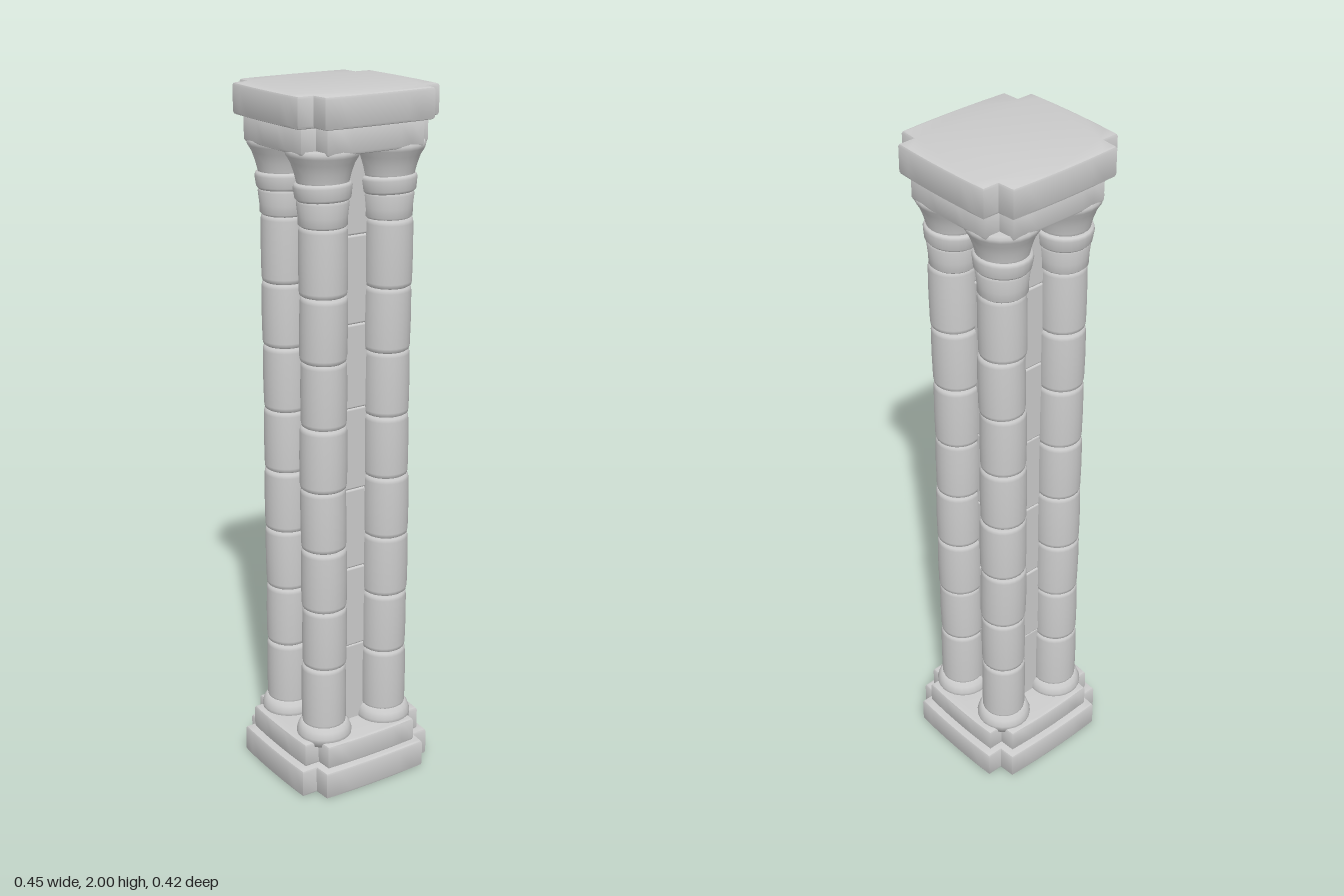
import * as THREE from 'three';
import { toCreasedNormals } from 'three/addons/utils/BufferGeometryUtils.js';
import { RoundedBoxGeometry } from 'three/addons/geometries/RoundedBoxGeometry.js';

const stone = new THREE.MeshStandardMaterial({ color: 0xcccccc });

// Small seeded generator for hand-cut irregularity
let seed = 7;
const wobble = (amount) => {
  seed = (seed * 16807) % 2147483647;
  return (seed / 2147483647 - 0.5) * 2 * amount;
};

function add(parent, name, geometry, x = 0, y = 0, z = 0) {
  const mesh = new THREE.Mesh(geometry, stone);
  mesh.name = name;
  mesh.position.set(x, y, z);
  parent.add(mesh);
  return mesh;
}

// Slab with notched corners, slightly bowed sides and worn edges
function slabGeometry(hx, hz, ax, az, height) {
  const bow = 0.005, b = 0.008;
  const s = new THREE.Shape();
  s.moveTo(ax, -hz + bow);
  s.lineTo(ax + 0.003, -az);
  s.lineTo(hx - bow, -az);
  s.quadraticCurveTo(hx + bow, 0, hx - bow, az);
  s.lineTo(ax + 0.003, az);
  s.lineTo(ax, hz - bow);
  s.quadraticCurveTo(0, hz + bow, -ax, hz - bow);
  s.lineTo(-ax - 0.003, az);
  s.lineTo(-hx + bow, az);
  s.quadraticCurveTo(-hx - bow, 0, -hx + bow, -az);
  s.lineTo(-ax - 0.003, -az);
  s.lineTo(-ax, -hz + bow);
  s.quadraticCurveTo(0, -hz - bow, ax, -hz + bow);
  const g = new THREE.ExtrudeGeometry(s, {
    depth: height - 2 * b, curveSegments: 8,
    bevelThickness: b, bevelSize: b, bevelOffset: -b, bevelSegments: 2,
  });
  g.rotateX(-Math.PI / 2);
  g.translate(0, b, 0);
  return toCreasedNormals(g, 0.7);
}

const lathe = (points, sides = 24) =>
  new THREE.LatheGeometry(points.map(([r, y]) => new THREE.Vector2(r, y)), sides);

// One round stone with softened rims
function drumGeometry(r, h) {
  return lathe([
    [0, 0], [r - 0.008, 0], [r - 0.002, 0.004], [r, 0.014], [r + 0.001, h / 2],
    [r, h - 0.014], [r - 0.002, h - 0.004], [r - 0.008, h], [0, h],
  ]);
}

function createColumn(name, x, z) {
  const column = new THREE.Group();
  column.name = name;
  column.position.set(x, 0, z);

  // Foot ring
  add(column, 'columnFoot', lathe([
    [0, 0.145], [0.078, 0.145], [0.08, 0.168], [0.074, 0.186], [0.064, 0.198], [0, 0.198],
  ]));

  // Stacked drums
  const joints = [0.19, 0.38, 0.56, 0.74, 0.92, 1.10, 1.285, 1.465, 1.652];
  for (let i = 0; i < joints.length - 1; i++) {
    const h = joints[i + 1] - joints[i] + 0.001;
    const drum = add(column, 'columnDrum', drumGeometry(0.064 + wobble(0.0015), h),
      wobble(0.002), joints[i], wobble(0.002));
    drum.rotation.set(wobble(0.012), wobble(3), wobble(0.012));
  }

  // Capital: neck, band and flared bell
  add(column, 'capitalNeck', lathe([
    [0, 1.65], [0.058, 1.65], [0.066, 1.657], [0.066, 1.68], [0.07, 1.715], [0.064, 1.723], [0, 1.723],
  ]));
  const band = add(column, 'capitalBand', lathe([
    [0, -0.024], [0.068, -0.024], [0.074, -0.017], [0.078, 0.012], [0.075, 0.021], [0.066, 0.025], [0, 0.025],
  ]), 0, 1.744, 0);
  band.rotation.set(wobble(0.05), 0, wobble(0.05));
  add(column, 'capitalBell', lathe([
    [0, 1.755], [0.067, 1.755], [0.07, 1.772], [0.076, 1.795], [0.085, 1.82],
    [0.096, 1.838], [0.099, 1.849], [0.094, 1.856], [0, 1.856],
  ]));
  return column;
}

export function createModel() {
  seed = 7;
  const pillar = new THREE.Group();
  pillar.name = 'clusteredPillar';

  // Plinth and crowning slabs
  const large = slabGeometry(0.224, 0.212, 0.169, 0.158, 0.084);
  const small = slabGeometry(0.203, 0.192, 0.15, 0.14, 0.072);
  add(pillar, 'plinthLower', large, 0, 0.004, 0);
  add(pillar, 'plinthUpper', small, 0, 0.087, 0);
  add(pillar, 'abacusLower', small, 0, 1.846, 0);
  add(pillar, 'abacusUpper', large, 0, 1.916, 0);

  // Square core of stacked blocks
  const courses = [0.15, 0.4, 0.645, 0.885, 1.125, 1.365, 1.61, 1.855];
  for (let i = 0; i < courses.length - 1; i++) {
    const h = courses[i + 1] - courses[i];
    const size = 0.168 + wobble(0.003);
    add(pillar, 'coreBlock', new RoundedBoxGeometry(size, h, size, 2, 0.006),
      0, courses[i] + h / 2, 0);
  }

  // Four corner columns
  for (const sx of [-1, 1]) {
    for (const sz of [-1, 1]) {
      const name = (sz > 0 ? 'front' : 'back') + (sx > 0 ? 'Left' : 'Right') + 'Column';
      pillar.add(createColumn(name, sx * 0.104, sz * 0.095));
    }
  }
  return pillar;
}
